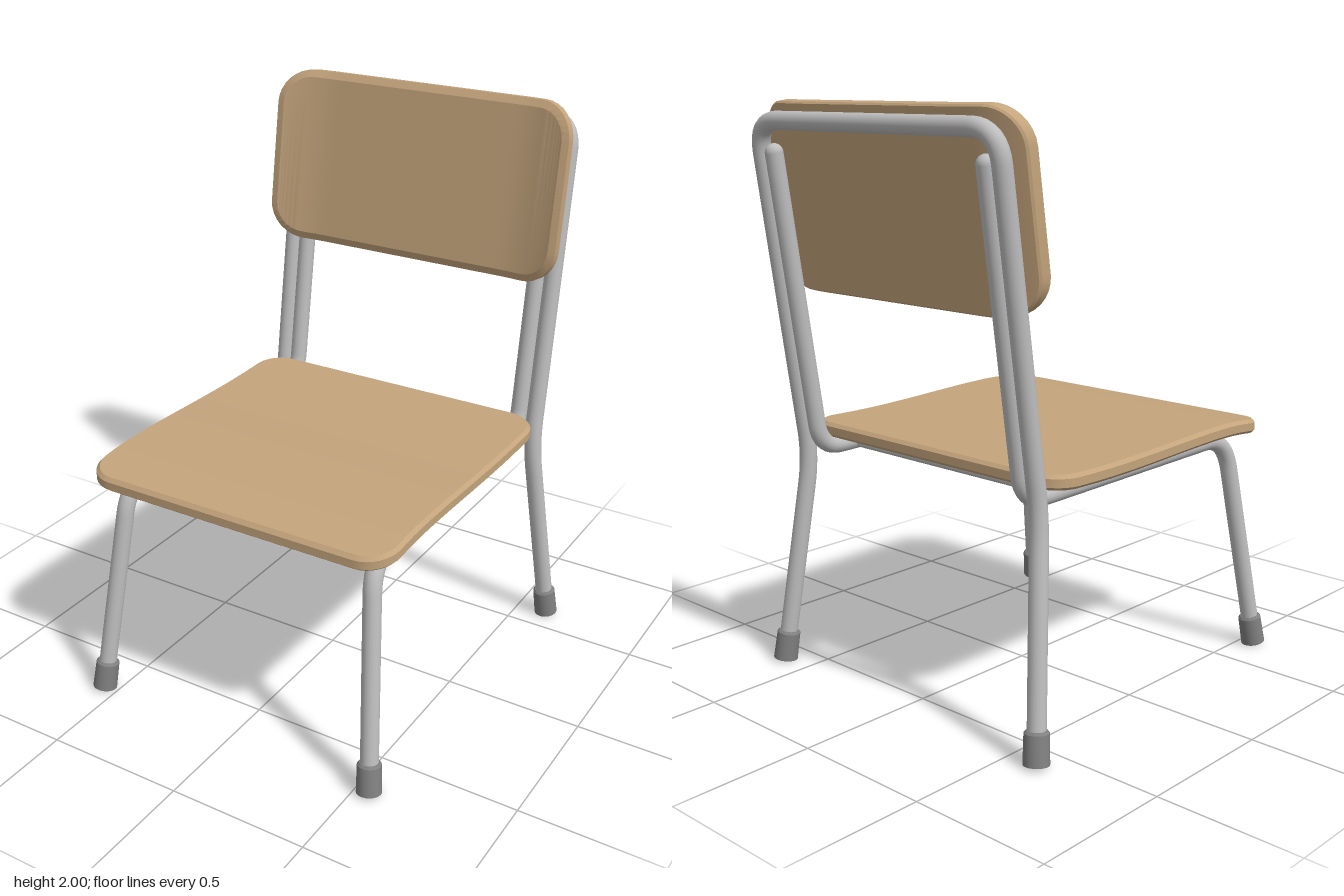
import * as THREE from 'three';
import { toCreasedNormals } from 'three/addons/utils/BufferGeometryUtils.js';

const TUBE_R = 0.031;
const V = (x, y, z) => new THREE.Vector3(x, y, z);

// Path of straight runs joined by rounded bends; bends[i] is the trim length at inner point i + 1
function bentPath(pts, bends) {
  const path = new THREE.CurvePath();
  let from = pts[0];
  for (let i = 1; i < pts.length - 1; i++) {
    const p = pts[i];
    const towards = (q) => p.clone().addScaledVector(q.clone().sub(p).normalize(), bends[i - 1]);
    const a = towards(pts[i - 1]), b = towards(pts[i + 1]);
    path.add(new THREE.LineCurve3(from, a));
    path.add(new THREE.QuadraticBezierCurve3(a, p, b));
    from = b;
  }
  path.add(new THREE.LineCurve3(from, pts[pts.length - 1]));
  return path;
}

// Rounded panel lofted along s (half length S), with half width W and corner radius r.
// layers: four [inset, height] pairs from top to bottom; place(s, w, h) bends the panel.
function panelGeometry(S, W, r, layers, place) {
  const ARC = 8, MID = 24, pos = [];
  const outline = (inset) => {
    const rows = [], R = r - inset;
    const arc = (i) => [S - r + R * Math.sin(i / ARC * Math.PI / 2), W - r + R * Math.cos(i / ARC * Math.PI / 2)];
    for (let i = ARC; i >= 0; i--) { const [s, w] = arc(i); rows.push([-s, w]); }
    for (let i = 1; i < MID; i++) rows.push([(S - r) * (2 * i / MID - 1), W - inset]);
    for (let i = 0; i <= ARC; i++) rows.push(arc(i));
    return rows;
  };
  const outlines = layers.map(([inset]) => outline(inset));
  const n = outlines[0].length;
  const at = (i, j) => {
    const k = j < 4 ? j : 7 - j;
    const [s, w] = outlines[k][i];
    return place(s, j < 4 ? w : -w, layers[k][1]);
  };
  const quad = (a, b, c, d) => [a, b, c, a, c, d].forEach((p) => pos.push(...p));
  for (let i = 0; i < n - 1; i++) {
    for (let j = 0; j < 8; j++) {
      const m = (j + 1) % 8;
      quad(at(i, j), at(i + 1, j), at(i + 1, m), at(i, m));
    }
  }
  const e = n - 1;
  for (let k = 0; k < 3; k++) { // end edges
    quad(at(e, k), at(e, 7 - k), at(e, 6 - k), at(e, k + 1));
    quad(at(0, k), at(0, k + 1), at(0, 6 - k), at(0, 7 - k));
  }
  const g = new THREE.BufferGeometry();
  g.setAttribute('position', new THREE.Float32BufferAttribute(pos, 3));
  return toCreasedNormals(g, 0.45);
}

export function createModel() {
  const wood = new THREE.MeshStandardMaterial({ color: 0xc4a47c });
  wood.name = 'wood';
  const metal = new THREE.MeshStandardMaterial({ color: 0xbebebe });
  metal.name = 'metal';
  const rubber = new THREE.MeshStandardMaterial({ color: 0x808080 });
  rubber.name = 'rubber';

  const model = new THREE.Group();
  model.name = 'chair';
  const add = (name, geometry, material) => {
    const mesh = new THREE.Mesh(geometry, material);
    mesh.name = name;
    model.add(mesh);
    return mesh;
  };

  // Seat: slight dip towards the back, front edge rolling down
  const seatBottom = (z) => 0.829 + 0.014 * THREE.MathUtils.smoothstep(z, -0.2, 0.4)
    + 0.1 * Math.max(0, -0.2 - z) ** 2 - 0.35 * Math.max(0, z - 0.4) ** 2;
  add('seat', panelGeometry(0.576, 0.585, 0.11,
    [[0.012, 0.05], [0, 0.038], [0, 0.01], [0.01, 0]],
    (s, w, h) => [w, seatBottom(s + 0.09) + h, s + 0.09]), wood);

  // Backrest: sides curve forward, whole panel leans back
  const backrest = add('backrest', panelGeometry(0.585, 0.316, 0.13,
    [[0.026, 0.056], [0, 0.043], [0, 0.006], [0.006, 0]],
    (s, w, h) => [s, w, h + 0.9 * Math.max(0, Math.abs(s) - 0.36) ** 2]), wood);
  backrest.position.set(0, 1.682, -0.628);
  backrest.rotation.x = -0.151;

  // Rear frame: back legs, uprights and top rail in one tube
  const rear = [V(0.612, 0.03, -0.6), V(0.545, 0.76, -0.515), V(0.545, 1.935, -0.69)];
  const mirror = (p) => V(-p.x, p.y, p.z);
  const rearPath = bentPath([...rear, ...rear.map(mirror).reverse()], [0.1, 0.11, 0.11, 0.1]);
  add('rearFrame', new THREE.TubeGeometry(rearPath, 240, TUBE_R, 16), metal);

  // Rubber foot, pushed over the end of a leg
  const footGeometry = toCreasedNormals(new THREE.LatheGeometry(
    [[0, 0], [0.043, 0], [0.041, 0.1], [0.034, 0.108], [0, 0.108]].map(([x, y]) => new THREE.Vector2(x, y)), 24), 0.5);
  const addFoot = (name, end, next) => {
    const dir = next.clone().sub(end).normalize();
    const foot = add(name, footGeometry, rubber);
    foot.position.copy(end).addScaledVector(dir, -0.023);
    foot.quaternion.setFromUnitVectors(V(0, 1, 0), dir);
  };

  // Side frames: front leg, seat rail and inner upright
  const side = [V(0.55, 0.03, 0.675), V(0.482, 0.812, 0.55), V(0.482, 0.8, -0.518), V(0.482, 1.83, -0.674)];
  for (const [label, flip] of [['left', (p) => p], ['right', mirror]]) {
    const pts = side.map(flip), back = rear.map(flip);
    add(label + 'SideFrame', new THREE.TubeGeometry(bentPath(pts, [0.13, 0.09]), 160, TUBE_R, 16), metal);
    const tip = add(label + 'UprightEnd', new THREE.SphereGeometry(TUBE_R, 16, 10), metal);
    tip.position.copy(pts[3]);
    addFoot(label + 'FrontFoot', pts[0], pts[1]);
    addFoot(label + 'RearFoot', back[0], back[1]);
  }

  // Thin cross bars under the seat
  for (const [name, z] of [['frontCrossBar', 0.38], ['rearCrossBar', -0.36]]) {
    const bar = add(name, new THREE.CylinderGeometry(0.016, 0.016, 0.96, 12), metal);
    bar.rotation.z = Math.PI / 2;
    bar.position.set(0, 0.796, z);
  }
  return model;
}
